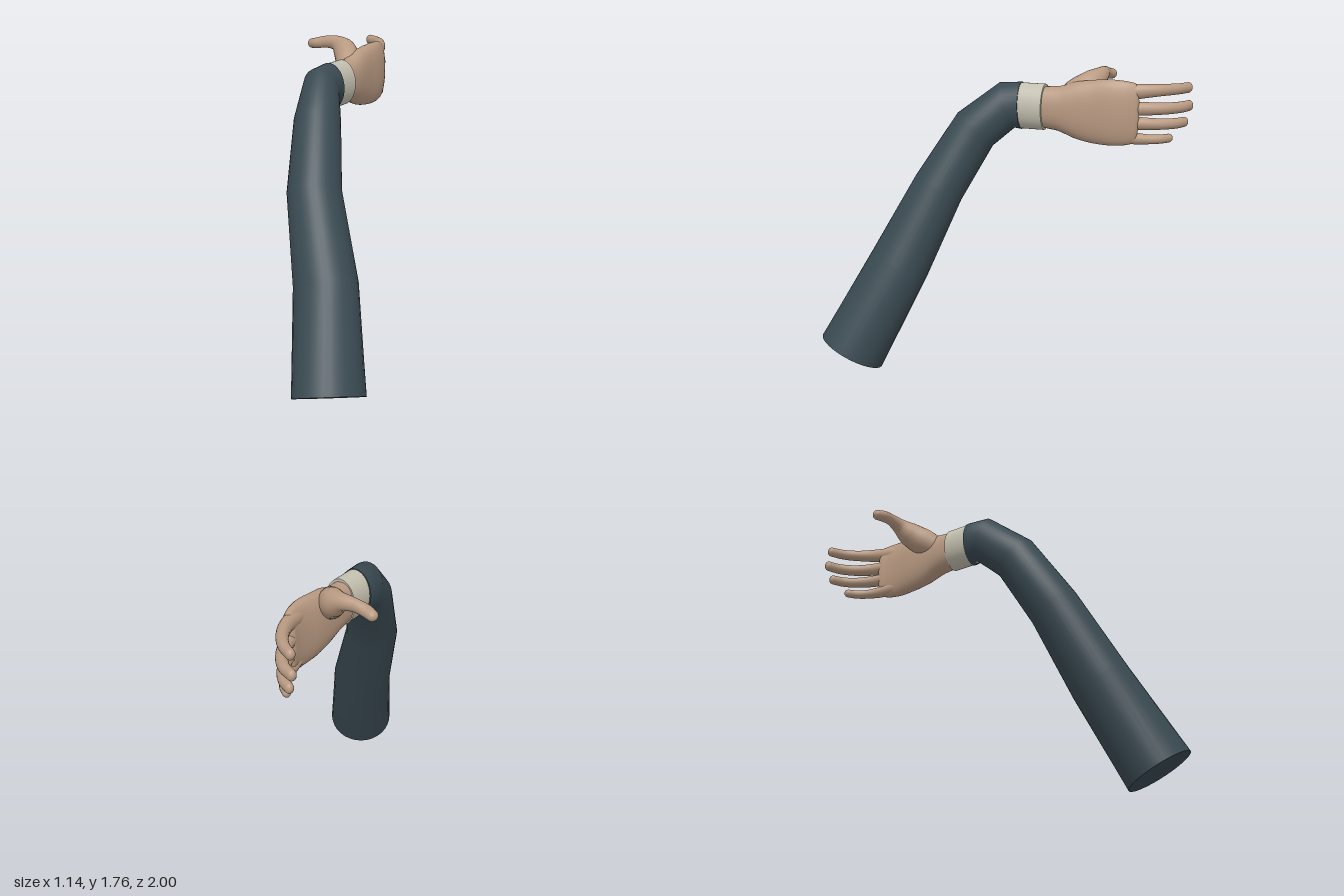
import * as THREE from 'three';

const material = (color) => new THREE.MeshStandardMaterial({ color, side: THREE.DoubleSide });
const UP = new THREE.Vector3(0, 1, 0);

// Refine stations [x, y, z, width, height] along a smooth curve.
function refine(stations, steps) {
  const points = stations.map((s) => new THREE.Vector3(s[0], s[1], s[2]));
  const sizes = stations.map((s) => new THREE.Vector3(s[3], s[4] ?? s[3], 0));
  const path = new THREE.CatmullRomCurve3(points);
  const size = new THREE.CatmullRomCurve3(sizes);
  const n = (stations.length - 1) * steps;
  return Array.from({ length: n + 1 }, (_, i) => {
    const p = path.getPoint(i / n);
    const r = size.getPoint(i / n);
    return [p.x, p.y, p.z, r.x, r.y];
  });
}

// Skin oval rings set square to the path; ends are flat, or rounded by tipLength.
function loft(stations, { sides = 24, steps = 0, tipLength = 0, power = 1 } = {}) {
  const list = steps ? refine(stations, steps) : stations;
  const centres = list.map((s) => new THREE.Vector3(s[0], s[1], s[2]));
  const rings = list.map((s, i) => {
    const before = centres[Math.max(i - 1, 0)];
    const after = centres[Math.min(i + 1, list.length - 1)];
    const a = centres[i].clone().sub(before).normalize();
    const b = after.clone().sub(centres[i]).normalize();
    return { p: centres[i], t: a.add(b).normalize(), a: s[3], b: s[4] ?? s[3] };
  });
  if (tipLength) {
    const end = rings[rings.length - 1];
    for (let k = 1; k <= 5; k++) {
      const q = (k / 5) * Math.PI / 2;
      const c = Math.max(Math.cos(q), 0.01);
      const p = end.p.clone().addScaledVector(end.t, tipLength * Math.sin(q));
      rings.push({ p, t: end.t, a: end.a * c, b: end.b * c });
    }
  }

  const positions = [];
  const index = [];
  const bend = (v) => Math.sign(v) * Math.abs(v) ** power;
  const addRing = ({ p, t, a, b }) => {
    const u = t.clone().cross(UP).normalize();
    const v = u.clone().cross(t);
    for (let j = 0; j < sides; j++) {
      const q = (j / sides) * Math.PI * 2;
      const corner = p.clone()
        .addScaledVector(u, a * bend(Math.cos(q)))
        .addScaledVector(v, b * bend(Math.sin(q)));
      positions.push(corner.x, corner.y, corner.z);
    }
  };
  rings.forEach(addRing);
  for (let i = 0; i < rings.length - 1; i++) {
    for (let j = 0; j < sides; j++) {
      const k = (j + 1) % sides;
      const lo = i * sides;
      const hi = lo + sides;
      index.push(lo + j, hi + j, lo + k, lo + k, hi + j, hi + k);
    }
  }
  // Caps have their own corners, so their rims stay sharp.
  [rings[0], rings[rings.length - 1]].forEach((ring, end) => {
    const first = positions.length / 3;
    addRing(ring);
    positions.push(ring.p.x, ring.p.y, ring.p.z);
    for (let j = 0; j < sides; j++) {
      const k = (j + 1) % sides;
      index.push(first + sides, first + (end ? k : j), first + (end ? j : k));
    }
  });

  const geometry = new THREE.BufferGeometry();
  geometry.setAttribute('position', new THREE.Float32BufferAttribute(positions, 3));
  geometry.setIndex(index);
  geometry.computeVertexNormals();
  return geometry;
}

export function createModel() {
  const model = new THREE.Group();
  model.name = 'arm';
  const cloth = material(0x3a4a52);
  const linen = material(0xc4c0b0);
  const skin = material(0xb99a82);
  const add = (name, geometry, mat, parent = model) => {
    const mesh = new THREE.Mesh(geometry, mat);
    mesh.name = name;
    parent.add(mesh);
  };

  // Sleeve: straight sections that bend towards the wrist.
  add('sleeve', loft([
    [0.38, 0.09, 0.82, 0.2, 0.2],
    [0.21, 0.61, 0.575, 0.178, 0.178],
    [0.025, 1.055, 0.393, 0.152, 0.152],
    [-0.075, 1.395, 0.2, 0.132, 0.14],
    [-0.155, 1.535, 0.03, 0.108, 0.138],
    [-0.157, 1.537, -0.06, 0.1, 0.137],
  ], { sides: 32 }), cloth);

  // Shirt cuff.
  add('cuff', loft([
    [-0.157, 1.537, -0.02, 0.093, 0.133],
    [-0.157, 1.537, -0.2, 0.093, 0.133],
  ], { sides: 32 }), linen);

  const hand = new THREE.Group();
  hand.name = 'hand';
  model.add(hand);

  // Palm, running from the wrist to the knuckles.
  add('palm', loft([
    [-0.16, 1.537, -0.17, 0.078, 0.116],
    [-0.165, 1.533, -0.28, 0.078, 0.128],
    [-0.17, 1.53, -0.38, 0.073, 0.163],
    [-0.175, 1.525, -0.48, 0.066, 0.181],
    [-0.175, 1.525, -0.58, 0.058, 0.188],
    [-0.185, 1.525, -0.66, 0.05, 0.183],
    [-0.2, 1.525, -0.71, 0.043, 0.172],
  ], { sides: 32, steps: 4, tipLength: 0.03, power: 0.88 }), skin, hand);

  // Fingers, curling towards the palm side.
  const fingers = {
    indexFinger: [[-0.18, 1.635, -0.6, 0.04, 0.048], [-0.215, 1.65, -0.74, 0.036, 0.042],
      [-0.272, 1.655, -0.85, 0.032, 0.034], [-0.34, 1.655, -0.925, 0.029, 0.031],
      [-0.41, 1.655, -0.968, 0.025, 0.03]],
    middleFinger: [[-0.18, 1.555, -0.6, 0.04, 0.045], [-0.215, 1.552, -0.74, 0.037, 0.039],
      [-0.275, 1.55, -0.86, 0.033, 0.034], [-0.35, 1.55, -0.94, 0.03, 0.032],
      [-0.42, 1.55, -0.975, 0.025, 0.031]],
    ringFinger: [[-0.18, 1.48, -0.6, 0.04, 0.042], [-0.215, 1.468, -0.74, 0.035, 0.037],
      [-0.27, 1.462, -0.85, 0.031, 0.032], [-0.33, 1.46, -0.92, 0.028, 0.03],
      [-0.39, 1.46, -0.957, 0.024, 0.029]],
    littleFinger: [[-0.18, 1.4, -0.6, 0.036, 0.042], [-0.21, 1.382, -0.72, 0.032, 0.034],
      [-0.245, 1.375, -0.8, 0.027, 0.027], [-0.28, 1.375, -0.855, 0.025, 0.026],
      [-0.318, 1.375, -0.888, 0.022, 0.025]],
  };
  for (const [name, stations] of Object.entries(fingers)) {
    add(name, loft(stations, { sides: 20, steps: 4, tipLength: 0.024 }), skin, hand);
  }

  // Thumb, with its broad base sunk into the palm.
  add('thumb', loft([
    [-0.175, 1.57, -0.29, 0.05, 0.06],
    [-0.225, 1.625, -0.38, 0.075, 0.085],
    [-0.29, 1.675, -0.445, 0.068, 0.075],
    [-0.36, 1.708, -0.473, 0.044, 0.046],
    [-0.44, 1.71, -0.473, 0.031, 0.036],
    [-0.5, 1.698, -0.472, 0.035, 0.033],
    [-0.545, 1.69, -0.485, 0.031, 0.03],
  ], { sides: 24, steps: 4, tipLength: 0.028 }), skin, hand);

  return model;
}
